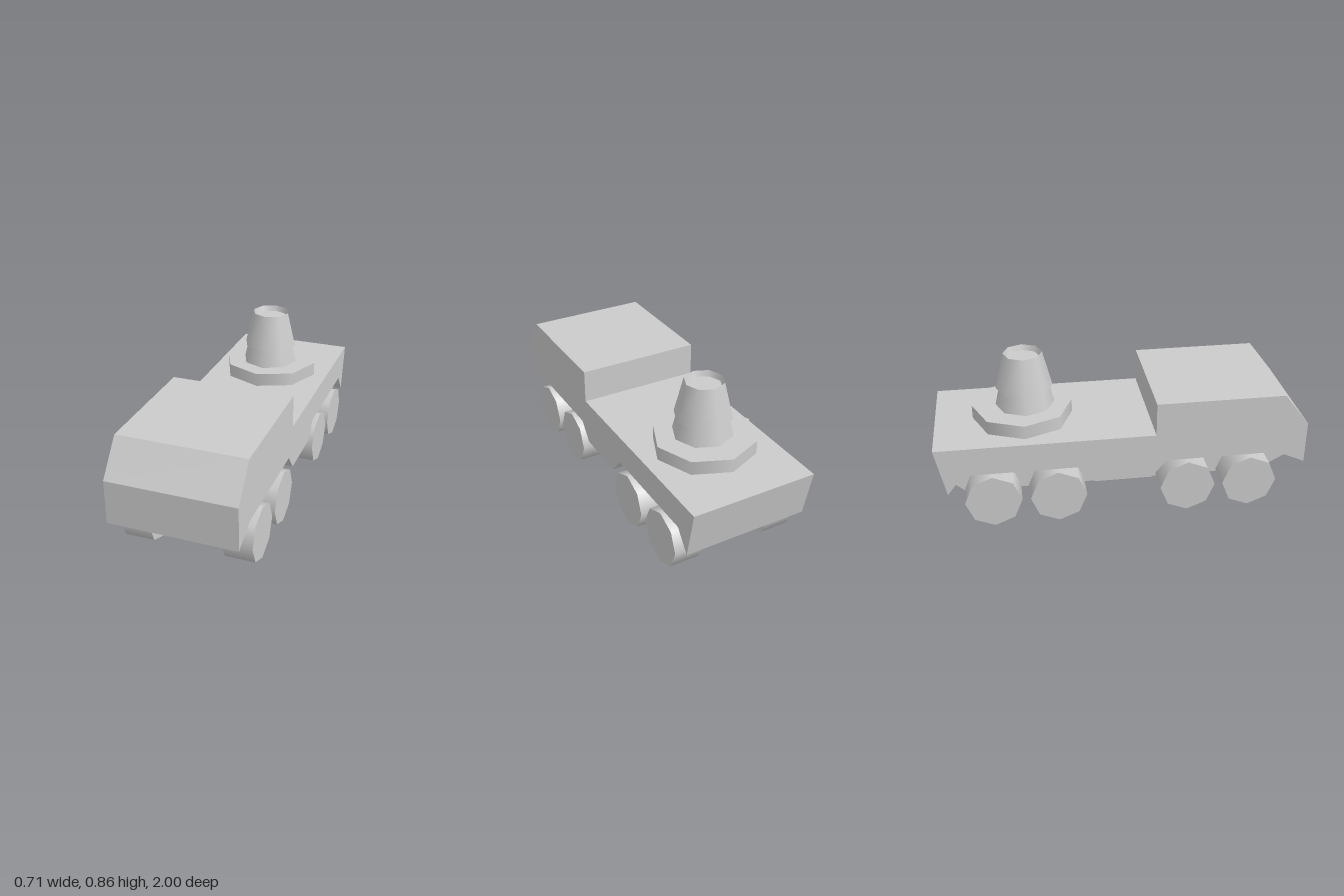
import * as THREE from 'three';

const material = new THREE.MeshStandardMaterial({ color: 0xcccccc, side: THREE.DoubleSide });

function add(parent, name, geometry, x = 0, y = 0, z = 0) {
  const mesh = new THREE.Mesh(geometry, material);
  mesh.name = name;
  mesh.position.set(x, y, z);
  parent.add(mesh);
  return mesh;
}

// Side profile given as [z, y] points, extruded across x and centred
function sideExtrude(points, width) {
  const shape = new THREE.Shape(points.map(([z, y]) => new THREE.Vector2(z, y)));
  const geometry = new THREE.ExtrudeGeometry(shape, { depth: width, bevelEnabled: false });
  return geometry.translate(0, 0, -width / 2).rotateY(-Math.PI / 2);
}

// Eight-sided cone section standing on y = 0
function frustum(top, bottom, height, open = false) {
  return new THREE.CylinderGeometry(top, bottom, height, 8, 1, open).translate(0, height / 2, 0);
}

export function createModel() {
  const model = new THREE.Group();
  model.name = 'armouredTruck';

  // Full-width hull with raised cab and cut-out wheel arches
  add(model, 'hull', sideExtrude([
    [1, 0.247], [1, 0.485], [0.86, 0.665], [0.167, 0.665], [0.167, 0.48], [-1, 0.48],
    [-0.945, 0.21], [-0.86, 0.32], [-0.25, 0.32], [-0.165, 0.223], [0.145, 0.223],
    [0.225, 0.32], [0.84, 0.32],
  ], 0.684));

  // Narrow belly between the wheels
  add(model, 'belly', sideExtrude([
    [1, 0.247], [0.84, 0.32], [-0.86, 0.32], [-0.945, 0.21], [-0.86, 0.137], [0.8, 0.137],
  ], 0.41));

  // Eight wheels, mirrored left and right
  const wheelGeometry = new THREE.CylinderGeometry(0.152, 0.152, 0.162, 8).rotateZ(Math.PI / 2);
  for (const [side, x] of [['left', 0.274], ['right', -0.274]]) {
    [0.692, 0.346, -0.36, -0.709].forEach((z, i) => {
      add(model, `${side}Wheel${i + 1}`, wheelGeometry, x, 0.152, z);
    });
  }

  // Turret: ring, neck and tapered barrel with a shallow sunken top
  const turret = new THREE.Group();
  turret.name = 'turret';
  turret.position.set(-0.007, 0, -0.505);
  model.add(turret);
  add(turret, 'turretRing', frustum(0.273, 0.273, 0.085), 0, 0.47, -0.017);
  add(turret, 'turretNeck', frustum(0.137, 0.162, 0.105), 0, 0.55, 0);
  add(turret, 'turretBarrel', frustum(0.105, 0.154, 0.2, true), 0, 0.655, 0);
  add(turret, 'barrelUnderside', new THREE.CircleGeometry(0.154, 8).rotateX(Math.PI / 2), 0, 0.655, 0);
  add(turret, 'barrelRecess', frustum(0.105, 0.094, 0.03, true), 0, 0.825, 0);
  add(turret, 'barrelFloor', new THREE.CircleGeometry(0.094, 8).rotateX(-Math.PI / 2), 0, 0.825, 0);

  return model;
}
